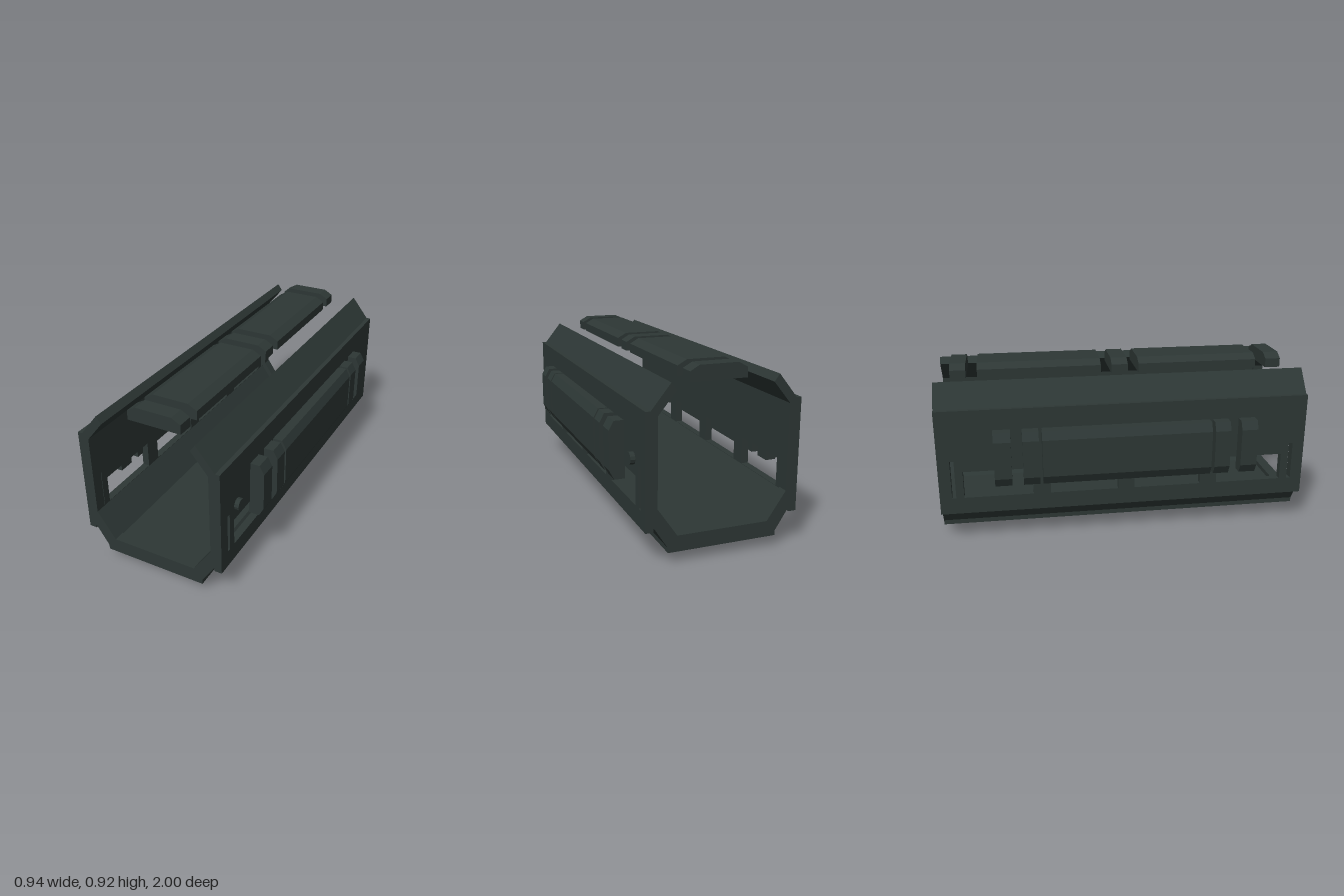
import * as THREE from 'three';

const metal = new THREE.MeshStandardMaterial({ color: 0x2d3735 });
metal.name = 'dark grey';

const toShape = (pts) => new THREE.Shape(pts.map(([x, y]) => new THREE.Vector2(x, y)));

// Cross-section in x/y, run from z0 to z1
function prism(name, pts, z0, z1) {
  const geo = new THREE.ExtrudeGeometry(toShape(pts), { depth: z1 - z0, bevelEnabled: false });
  geo.translate(0, 0, z0);
  const mesh = new THREE.Mesh(geo, metal);
  mesh.name = name;
  return mesh;
}

// Half profile (from the +x side) closed with its mirror image
const mirrored = (half) => [...half, ...half.map(([x, y]) => [-x, y]).reverse()];

const rect = (z0, z1, y0, y1) => [[z0, y0], [z1, y0], [z1, y1], [z0, y1]];

// Lengthwise spans of the grip blocks
const sideSpans = [[-0.705, -0.615], [-0.555, -0.47], [-0.453, 0.453], [0.47, 0.555], [0.615, 0.705]];
const topSpans = [[-0.92, -0.835], [-0.775, -0.105], [-0.045, 0.045], [0.105, 0.775], [0.835, 0.92]];

// One side wall with windows, upper flange, end rims and grip blocks
function sideAssembly() {
  const side = new THREE.Group();

  const wall = toShape(rect(-1, 1, 0.175, 0.75));
  const windows = [[0.505, 0.872], [0.045, 0.412]].flatMap(([a, b]) => [[a, b], [-b, -a]]);
  const slots = [[0.914, 0.936], [-0.936, -0.914]];
  for (const [a, b] of windows) wall.holes.push(toShape(rect(a, b, 0.265, 0.413)));
  for (const [a, b] of slots) wall.holes.push(toShape(rect(a, b, 0.265, 0.475)));
  const wallGeo = new THREE.ExtrudeGeometry(wall, { depth: 0.04, bevelEnabled: false });
  wallGeo.rotateY(Math.PI / 2);
  wallGeo.translate(0.355, 0, 0);
  const wallMesh = new THREE.Mesh(wallGeo, metal);
  wallMesh.name = 'sideWall';
  side.add(wallMesh);

  side.add(prism('upperFlange',
    [[0.37, 0.75], [0.272, 0.872], [0.245, 0.835], [0.335, 0.725], [0.37, 0.725]], -1, 1));

  for (const [a, b] of [[-1, -0.94], [0.94, 1]]) {
    side.add(prism('wallEndRim', [[0.335, 0.28], [0.357, 0.28], [0.357, 0.73], [0.335, 0.73]], a, b));
  }

  const grip = [[0.39, 0.342], [0.445, 0.342], [0.47, 0.39], [0.47, 0.592], [0.445, 0.638], [0.39, 0.638]];
  for (const [a, b] of sideSpans) side.add(prism('sideGripBlock', grip, a, b));
  return side;
}

export function createModel() {
  const model = new THREE.Group();
  model.name = 'handguard';

  // Side walls
  const left = sideAssembly();
  left.name = 'leftSide';
  const right = sideAssembly();
  right.name = 'rightSide';
  right.rotation.y = Math.PI;
  model.add(left, right);

  // Lower trough, thinner between its two end rims
  const outer = [[0.283, 0.06], [0.283, 0.085], [0.352, 0.192], [0.36, 0.192]];
  model.add(prism('lowerTrough', mirrored([...outer, [0.36, 0.263], [0.355, 0.263], [0.25, 0.115]]), -0.94, 0.94));
  for (const [a, b] of [[-1, -0.94], [0.94, 1]]) {
    model.add(prism('troughEndRim', mirrored([...outer, [0.36, 0.285], [0.335, 0.285], [0.236, 0.141]]), a, b));
  }

  // Top and bottom grip blocks
  const topProfile = mirrored([[0.148, 0.847], [0.148, 0.897], [0.1, 0.924]]);
  for (const [a, b] of topSpans) model.add(prism('topGripBlock', topProfile, a, b));
  const bottomProfile = mirrored([[0.1, 0], [0.148, 0.027], [0.148, 0.065]]);
  for (const [a, b] of sideSpans) model.add(prism('bottomGripBlock', bottomProfile, a, b));

  // Pins on the left wall
  for (const z of [-0.84, 0.84]) {
    const pin = new THREE.Mesh(new THREE.CylinderGeometry(0.031, 0.031, 0.03, 12).toNonIndexed(), metal);
    pin.geometry.computeVertexNormals();
    pin.name = 'pin';
    pin.rotation.z = Math.PI / 2;
    pin.position.set(0.404, 0.491, z);
    model.add(pin);
  }
  return model;
}
